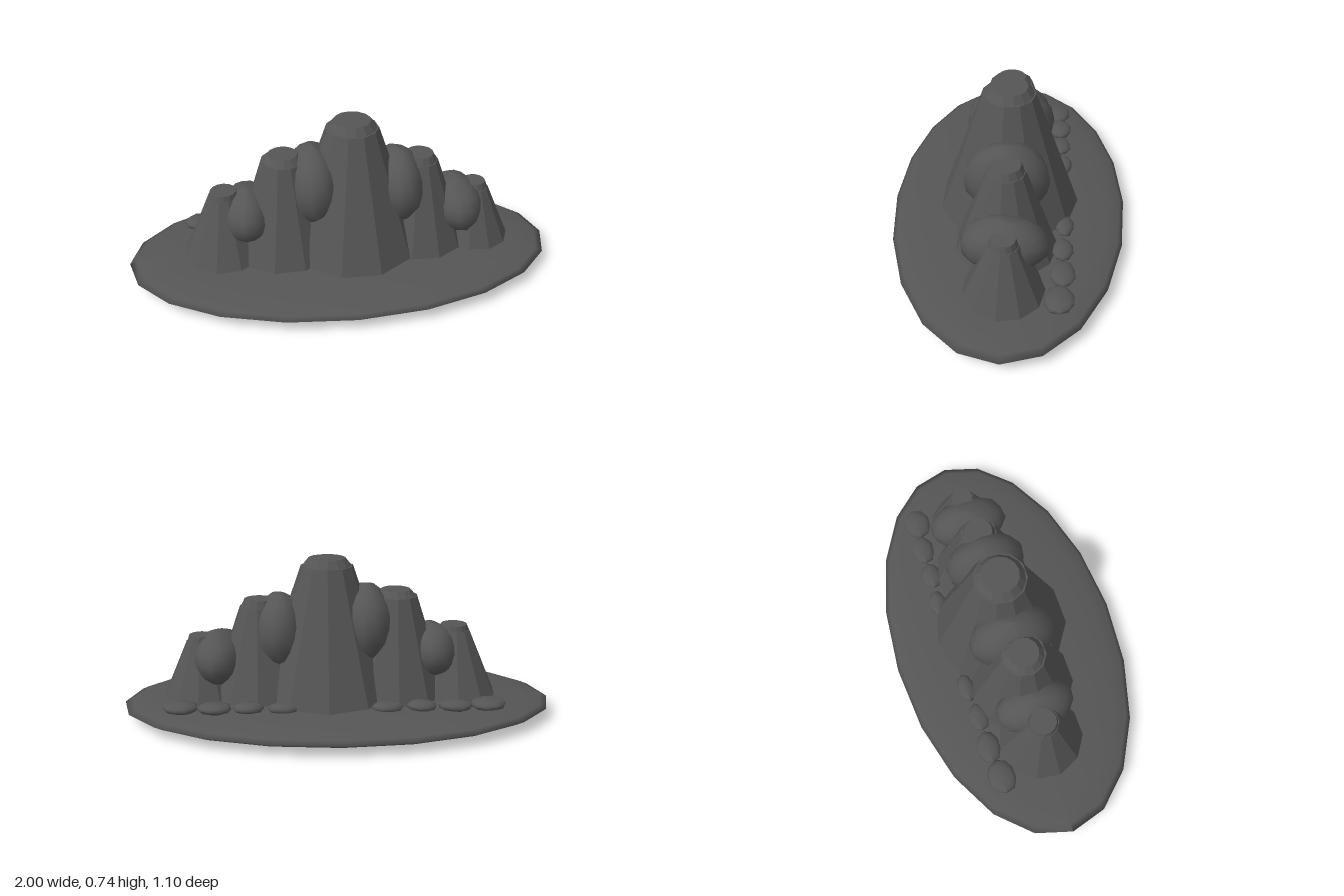
import * as THREE from 'three';

export function createModel() {
  const group = new THREE.Group();
  const stone = new THREE.MeshStandardMaterial({ color: 0x555555 });
  stone.name = 'darkStone';
  // same stone colour, faceted shading for the cones
  const facet = new THREE.MeshStandardMaterial({ color: 0x555555, flatShading: true });
  facet.name = 'darkStoneFaceted';

  function add(name, geometry, material, x, y, z) {
    const mesh = new THREE.Mesh(geometry, material);
    mesh.name = name;
    mesh.position.set(x, y, z);
    group.add(mesh);
    return mesh;
  }

  // Slightly irregular ellipsoid; the ripple is periodic so the seam stays closed
  function pebble(rx, ry, rz, cols, rows, bump, seed) {
    const geo = new THREE.SphereGeometry(1, cols, rows);
    const p = geo.attributes.position;
    for (let i = 0; i < p.count; i++) {
      const x = p.getX(i), y = p.getY(i), z = p.getZ(i);
      const k = 1 + bump * Math.sin(5 * x + seed) * Math.cos(4 * z + 3 * y + seed * 2);
      p.setXYZ(i, x * rx * k, y * ry * k, z * rz * k);
    }
    geo.computeVertexNormals();
    return geo;
  }

  // Lens-shaped island base
  add('islandBase', pebble(1, 0.06, 0.55, 20, 12, 0, 0), stone, 0, 0.065, 0);

  // Cones: x, foot radius, rim radius, rim height, cap radius, cap height
  const foot = 0.1;
  const peaks = [
    [-0.54, 0.205, 0.072, 0.405, 0.06, 0.43],
    [-0.265, 0.255, 0.1, 0.57, 0.068, 0.598],
    [0.05, 0.33, 0.12, 0.71, 0.085, 0.745],
    [0.365, 0.235, 0.085, 0.525, 0.064, 0.558],
    [0.635, 0.18, 0.066, 0.36, 0.052, 0.39],
  ];
  for (const [x, footR, rimR, rimY, capR, capY] of peaks) {
    const cone = add('peak', new THREE.CylinderGeometry(rimR, footR, rimY - foot, 11),
      facet, x, (rimY + foot) / 2, 0);
    cone.rotation.y = Math.PI;
    add('peakCap', new THREE.CylinderGeometry(capR, rimR * 0.96, capY - rimY + 0.004, 14),
      facet, x, (capY + rimY) / 2 - 0.002, 0);
  }

  // Boulders wedged between the peaks: x, y, rx, ry, rz
  const boulders = [
    [-0.435, 0.31, 0.12, 0.125, 0.185],
    [-0.13, 0.44, 0.13, 0.185, 0.205],
    [0.265, 0.405, 0.125, 0.18, 0.19],
    [0.55, 0.285, 0.12, 0.125, 0.19],
  ];
  boulders.forEach(([x, y, rx, ry, rz], i) =>
    add('boulder', pebble(rx, ry, rz, 14, 10, 0.03, i + 1), stone, x, y, 0));

  // Flat stones along the back: offset from middle, z, rx, rz
  const stones = [
    [0.685, -0.235, 0.08, 0.066],
    [0.535, -0.25, 0.078, 0.056],
    [0.385, -0.25, 0.068, 0.05],
    [0.23, -0.262, 0.07, 0.042],
  ];
  stones.forEach(([d, z, rx, rz], i) => {
    for (const s of [-1, 1])
      add('flatStone', pebble(rx, 0.025, rz, 10, 8, 0.06, i * 2 + s), stone, s * d + 0.02, 0.122, z);
  });

  return group;
}
